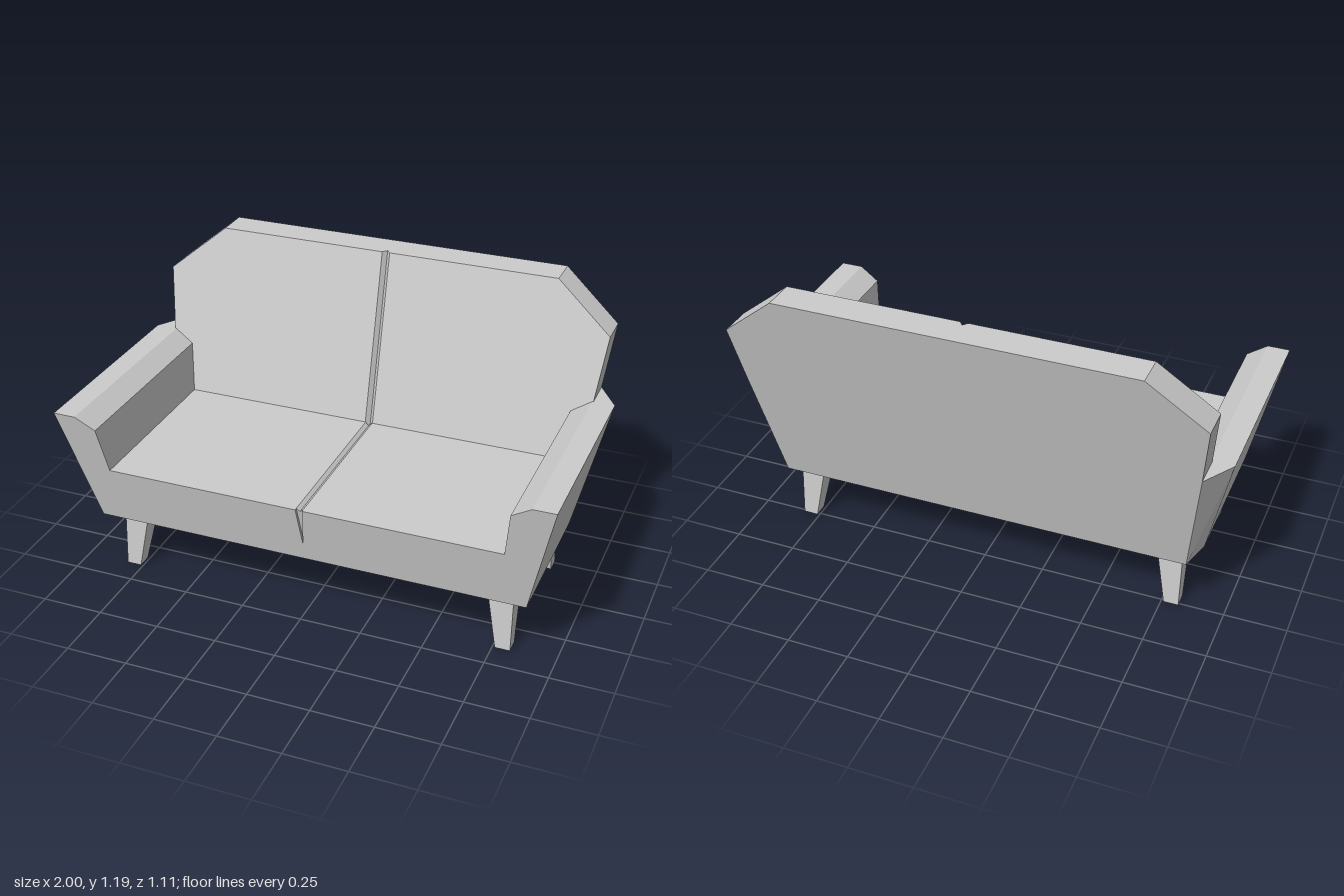
import * as THREE from 'three';
import { ConvexGeometry } from 'three/addons/geometries/ConvexGeometry.js';

const fabric = new THREE.MeshStandardMaterial({ color: 0xcccccc });
fabric.name = 'light grey';

// Sloping planes that bound the sofa from front to back, as z for a height y
const frontPlane = y => 0.445 + (y - 0.25) * 0.222;
const restFront = y => -0.175 - (y - 0.25) * 0.2606;
const restBack = y => -0.31 - (y - 0.25) * 0.2606;

// Extrudes an x/y outline and shears its two ends onto the given planes
function slab(outline, back, front, moveX = x => x) {
  const shape = new THREE.Shape(outline.map(p => new THREE.Vector2(...p)));
  const geo = new THREE.ExtrudeGeometry(shape, { depth: 1, bevelEnabled: false });
  const pos = geo.attributes.position;
  for (let i = 0; i < pos.count; i++) {
    const x = pos.getX(i), y = pos.getY(i), atFront = pos.getZ(i) > 0.5;
    pos.setXYZ(i, moveX(x, atFront), y, atFront ? front(y) : back(y));
  }
  geo.computeVertexNormals();
  return geo;
}

// Completes the right half of an outline with its mirror image
const mirrored = half =>
  [...half, ...half.filter(p => p[0] !== 0).reverse().map(([x, y]) => [-x, y])];

export function createModel() {
  const sofa = new THREE.Group();
  sofa.name = 'sofa';
  const add = (name, geo) => {
    const mesh = new THREE.Mesh(geo, fabric);
    mesh.name = name;
    sofa.add(mesh);
  };

  // Seat and arms share one U-shaped section, with a seam notch in the middle
  const section = notchY => mirrored([
    [0.885, 0.25], [1, 0.745], [0.91, 0.745], [0.83, 0.695],
    [0.805, 0.5], [0.014, 0.5], [0, notchY],
  ]);
  const seamPlane = y => frontPlane(y) - 0.012;
  add('seatAndArms', slab(section(0.488), restFront, seamPlane));
  add('seatFront', slab(section(0.325), seamPlane, frontPlane));

  // Backrest: a solid rear layer and two front pads parted by a V-shaped seam
  const restHalf = [[0.85, 0.25], [0.915, 0.745], [0.945, 1], [0.715, 1.19]];
  const padBack = y => restFront(y) - 0.02;
  add('backrest', slab(mirrored(restHalf), restBack, padBack));
  for (const s of [1, -1]) {
    const half = [[0, 0.25], ...restHalf, [0, 1.19]].map(([x, y]) => [s * x, y]);
    add(s > 0 ? 'leftBackPad' : 'rightBackPad', slab(half, padBack, restFront,
      (x, atFront) => (atFront && Math.abs(x) < 0.001 ? s * 0.016 : x)));

    // Chamfered rear end of the arm
    const corner = [
      [0.885, 0.25, restFront], [1, 0.745, restFront], [0.91, 0.745, restFront],
      [0.84, 0.25, restFront], [0.85, 0.25, restBack], [0.915, 0.745, restBack],
    ].map(([x, y, plane]) => new THREE.Vector3(s * x, y, plane(y)));
    add(s > 0 ? 'leftArmEnd' : 'rightArmEnd', new ConvexGeometry(corner));

    // Tapered legs: z ranges at the top and at the foot
    for (const [name, top, foot] of [
      ['FrontLeg', [0.28, 0.38], [0.335, 0.395]],
      ['RearLeg', [-0.243, -0.145], [-0.26, -0.2]],
    ]) {
      const geo = new THREE.BoxGeometry(1, 1, 1).toNonIndexed();
      const pos = geo.attributes.position;
      for (let i = 0; i < pos.count; i++) {
        const high = pos.getY(i) > 0;
        const outer = pos.getX(i) * s > 0;
        const z = (high ? top : foot)[pos.getZ(i) > 0 ? 1 : 0];
        pos.setXYZ(i, s * (outer ? 0.82 : high ? 0.715 : 0.76), high ? 0.25 : 0, z);
      }
      geo.computeVertexNormals();
      add((s > 0 ? 'left' : 'right') + name, geo);
    }
  }
  return sofa;
}
